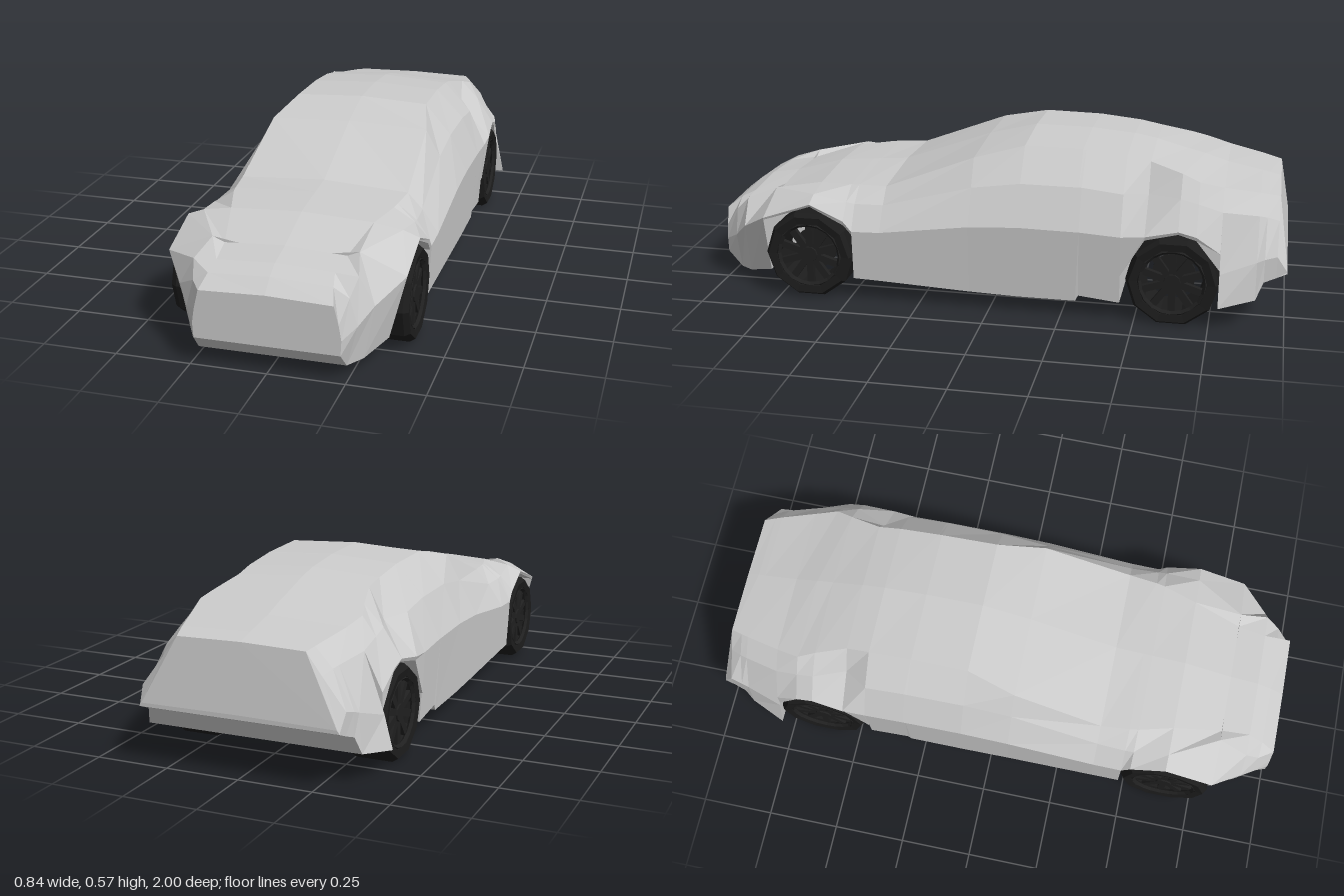
import * as THREE from 'three';

const paint = new THREE.MeshStandardMaterial({ color: 0xcccccc, flatShading: true });
const rubber = new THREE.MeshStandardMaterial({ color: 0x1c1c1c, flatShading: true, side: THREE.DoubleSide });
const alloy = new THREE.MeshStandardMaterial({ color: 0x202020, flatShading: true });

// Half section: z, top centre y, then (x, y) of roof edge, mid side, widest line and sill.
// Each section is mirrored into a closed ring; rings run from front to back.
function ring([z, yc, xe, ye, xm, ym, xw, yw, xb, yb]) {
  const half = [[xe, ye], [xm, ym], [xw, yw], [xb, yb]];
  return [[0, yc], ...half, [0, yb], ...half.reverse().map(([x, y]) => [-x, y])]
    .map(([x, y]) => [x, y, z]);
}

function loft(name, sections) {
  const rings = sections.map(ring);
  const n = rings[0].length;
  const pos = [];
  const tri = (...corners) => corners.forEach((p) => pos.push(...p));
  for (let i = 0; i < rings.length - 1; i++) {
    for (let j = 0; j < n; j++) {
      const k = (j + 1) % n;
      const a = rings[i][j], b = rings[i][k], c = rings[i + 1][j], d = rings[i + 1][k];
      tri(a, b, c);
      tri(b, d, c);
    }
  }
  // End caps, fanned from a centre point
  const cap = (r, front) => {
    const mid = [0, (r[0][1] + r[5][1]) / 2, r[0][2]];
    for (let j = 0; j < n; j++) {
      const k = (j + 1) % n;
      if (front) tri(mid, r[k], r[j]);
      else tri(mid, r[j], r[k]);
    }
  };
  cap(rings[0], true);
  cap(rings[rings.length - 1], false);
  const geo = new THREE.BufferGeometry();
  geo.setAttribute('position', new THREE.Float32BufferAttribute(pos, 3));
  geo.computeVertexNormals();
  const mesh = new THREE.Mesh(geo, paint);
  mesh.name = name;
  return mesh;
}

function createBody() {
  const body = new THREE.Group();
  body.name = 'body';
  body.add(
    loft('frontBumper', [
      [1.0, 0.27, 0.215, 0.262, 0.23, 0.2, 0.238, 0.15, 0.235, 0.1],
      [0.95, 0.31, 0.2, 0.3, 0.25, 0.27, 0.275, 0.18, 0.24, 0.045],
      [0.9, 0.335, 0.19, 0.325, 0.265, 0.32, 0.315, 0.23, 0.28, 0.05],
      [0.8, 0.352, 0.2, 0.34, 0.24, 0.357, 0.39, 0.293, 0.335, 0.08],
    ]),
    loft('frontArch', [
      [0.8, 0.352, 0.2, 0.34, 0.24, 0.357, 0.39, 0.293, 0.387, 0.285],
      [0.63, 0.4, 0.24, 0.388, 0.335, 0.373, 0.39, 0.352, 0.385, 0.343],
      [0.51, 0.41, 0.275, 0.398, 0.345, 0.355, 0.394, 0.3, 0.39, 0.285],
      [0.48, 0.412, 0.28, 0.4, 0.345, 0.35, 0.395, 0.265, 0.39, 0.25],
    ]),
    loft('cabin', [
      [0.48, 0.412, 0.28, 0.4, 0.345, 0.35, 0.395, 0.265, 0.385, 0.09],
      [0.38, 0.42, 0.29, 0.403, 0.34, 0.35, 0.395, 0.268, 0.384, 0.086],
      [0.07, 0.532, 0.28, 0.522, 0.33, 0.43, 0.395, 0.31, 0.38, 0.07],
      [-0.1, 0.575, 0.24, 0.563, 0.332, 0.455, 0.395, 0.32, 0.38, 0.065],
      [-0.3, 0.573, 0.237, 0.56, 0.334, 0.455, 0.396, 0.318, 0.38, 0.065],
      [-0.31, 0.572, 0.237, 0.559, 0.334, 0.455, 0.396, 0.318, 0.38, 0.085],
      [-0.45, 0.56, 0.237, 0.545, 0.335, 0.44, 0.397, 0.31, 0.38, 0.07],
    ]),
    loft('rearArch', [
      [-0.45, 0.56, 0.237, 0.545, 0.335, 0.44, 0.397, 0.31, 0.39, 0.17],
      [-0.53, 0.545, 0.235, 0.53, 0.285, 0.43, 0.4, 0.318, 0.395, 0.305],
      [-0.64, 0.515, 0.265, 0.502, 0.33, 0.435, 0.392, 0.34, 0.388, 0.33],
      [-0.7, 0.5, 0.285, 0.482, 0.33, 0.42, 0.392, 0.325, 0.388, 0.312],
      [-0.78, 0.475, 0.267, 0.463, 0.325, 0.395, 0.385, 0.27, 0.385, 0.21],
    ]),
    loft('tail', [
      [-0.78, 0.475, 0.267, 0.463, 0.325, 0.395, 0.392, 0.2, 0.42, 0.09],
      [-0.9, 0.45, 0.237, 0.443, 0.295, 0.38, 0.36, 0.24, 0.37, 0.11],
      [-0.925, 0.445, 0.23, 0.438, 0.287, 0.375, 0.355, 0.25, 0.355, 0.17],
      [-0.965, 0.435, 0.218, 0.43, 0.27, 0.36, 0.347, 0.26, 0.345, 0.185],
      [-1.0, 0.215, 0.332, 0.212, 0.336, 0.208, 0.338, 0.205, 0.34, 0.2],
    ]),
  );
  return body;
}

// Wheel built round the x axis, outer face towards +x
function createWheel(name) {
  const wheel = new THREE.Group();
  wheel.name = name;
  const part = (partName, geo, mat) => {
    const mesh = new THREE.Mesh(geo, mat);
    mesh.name = partName;
    wheel.add(mesh);
    return mesh;
  };
  const profile = [[0.118, -0.07], [0.145, -0.08], [0.157, -0.062], [0.157, 0.062],
    [0.145, 0.08], [0.118, 0.076], [0.112, 0.05], [0.108, -0.06], [0.118, -0.07]];
  const tyre = new THREE.LatheGeometry(profile.map(([r, h]) => new THREE.Vector2(r, h)), 10);
  part('tyre', tyre.rotateZ(-Math.PI / 2), rubber);

  const rim = new THREE.TorusGeometry(0.112, 0.009, 4, 20).rotateY(Math.PI / 2);
  part('rim', rim, alloy).position.x = 0.068;
  part('hub', new THREE.CylinderGeometry(0.028, 0.034, 0.03, 10).rotateZ(-Math.PI / 2), alloy).position.x = 0.055;
  part('axleStub', new THREE.CylinderGeometry(0.02, 0.02, 0.11, 8).rotateZ(Math.PI / 2), alloy).position.x = -0.005;
  part('brakeDisc', new THREE.CylinderGeometry(0.075, 0.075, 0.012, 16).rotateZ(Math.PI / 2), alloy).position.x = -0.01;
  const spoke = new THREE.BoxGeometry(0.018, 0.09, 0.024).translate(0, 0.068, 0);
  for (let i = 0; i < 10; i++) {
    const mesh = part('spoke', spoke, alloy);
    mesh.position.x = 0.056;
    mesh.rotation.x = (i / 10) * Math.PI * 2;
  }
  return wheel;
}

export function createModel() {
  const car = new THREE.Group();
  car.name = 'car';
  car.add(createBody());
  for (const [end, y, z] of [['front', 0.165, 0.64], ['rear', 0.157, -0.625]]) {
    for (const side of [1, -1]) {
      const wheel = createWheel(end + (side > 0 ? 'Left' : 'Right') + 'Wheel');
      wheel.position.set(side * 0.313, y, z);
      if (side < 0) wheel.rotation.y = Math.PI;
      car.add(wheel);
    }
  }
  return car;
}
